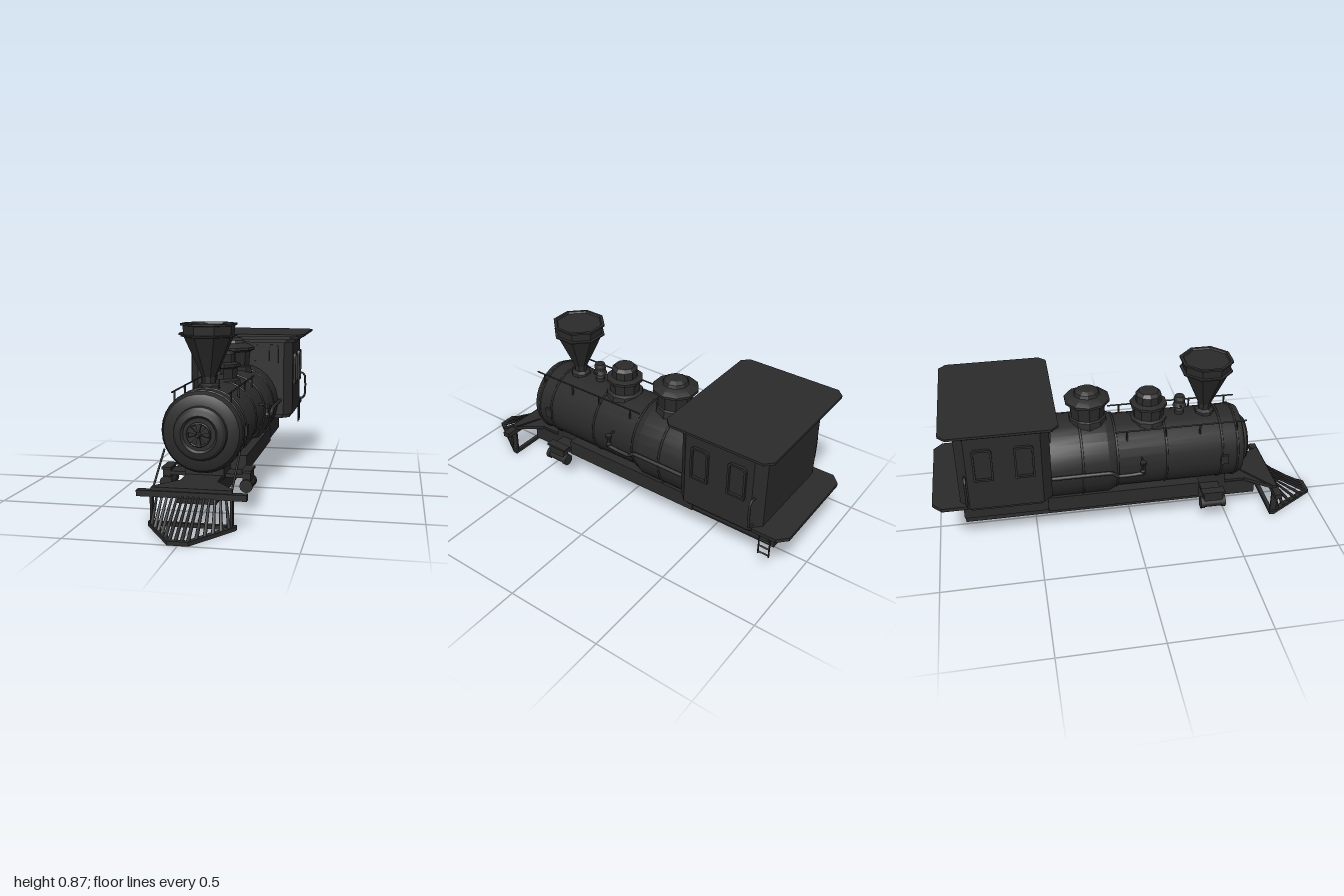
import * as THREE from 'three';
import { toCreasedNormals } from 'three/addons/utils/BufferGeometryUtils.js';

const dark = new THREE.MeshStandardMaterial({ color: 0x2b2b2b, side: THREE.DoubleSide });
const V = (x, y, z) => new THREE.Vector3(x, y, z);
const AXIS_Y = 0.385; // height of the boiler axis

export function createModel() {
  const root = new THREE.Group();

  const add = (name, geo, x = 0, y = 0, z = 0) => {
    const m = new THREE.Mesh(geo, dark);
    m.name = name;
    m.position.set(x, y, z);
    root.add(m);
    return m;
  };
  // Box given by its limits
  const box = (name, x0, x1, y0, y1, z0, z1) =>
    add(name, new THREE.BoxGeometry(x1 - x0, y1 - y0, z1 - z0), (x0 + x1) / 2, (y0 + y1) / 2, (z0 + z1) / 2);
  // Rod between two points
  const rod = (name, a, b, r, r2 = r, sides = 8) => {
    const d = b.clone().sub(a);
    const m = add(name, new THREE.CylinderGeometry(r2, r, d.length(), sides));
    m.position.copy(a).addScaledVector(d, 0.5);
    m.quaternion.setFromUnitVectors(V(0, 1, 0), d.normalize());
    return m;
  };
  // Pipe through points
  const pipe = (name, pts, r) => add(name, new THREE.TubeGeometry(
    new THREE.CatmullRomCurve3(pts, false, 'catmullrom', 0.15), pts.length * 8, r, 8));
  const lathe = (pts, sides, crease = 0.5) => toCreasedNormals(
    new THREE.LatheGeometry(pts.map(p => new THREE.Vector2(...p)), sides, Math.PI / sides), crease);
  // Flat plate from a plan outline of [x, z] points, optionally with a hole
  const plan = (name, pts, y0, y1, hole) => {
    const s = new THREE.Shape(pts.map(p => new THREE.Vector2(p[0], -p[1])));
    if (hole) s.holes.push(new THREE.Path(hole.map(p => new THREE.Vector2(p[0], -p[1]))));
    const g = new THREE.ExtrudeGeometry(s, { depth: y1 - y0, bevelEnabled: false });
    return add(name, g.rotateX(-Math.PI / 2), 0, y0, 0);
  };
  // Rectangle outline with cut corners
  const cutRect = (w, z0, z1, c) => [[-w + c, z0], [w - c, z0], [w, z0 + c], [w, z1 - c],
    [w - c, z1], [-w + c, z1], [-w, z1 - c], [-w, z0 + c]];
  const both = fn => [-1, 1].forEach(fn);

  // Boiler with smokebox, tapered to a wider firebox end
  const boiler = lathe([[0, -0.44], [0.212, -0.44], [0.212, -0.13], [0.187, -0.08], [0.187, 0.54],
    [0.176, 0.565], [0.15, 0.575], [0.125, 0.578], [0.122, 0.595], [0.11, 0.606], [0.085, 0.612],
    [0.075, 0.602], [0, 0.602]], 28);
  add('boiler', boiler.rotateX(Math.PI / 2), 0, AXIS_Y, 0);
  for (const [z, r] of [[0.53, 0.187], [0.45, 0.187], [0.165, 0.187], [-0.085, 0.19], [-0.26, 0.212]])
    add('boilerBand', new THREE.TorusGeometry(r, 0.006, 6, 28), 0, AXIS_Y, z);

  // Smokebox door hub with a fan of blades
  add('doorRing', new THREE.TorusGeometry(0.052, 0.005, 6, 24), 0, AXIS_Y, 0.612);
  for (let i = 0; i < 6; i++) {
    const a = i * Math.PI / 3;
    const s = new THREE.Shape([[0.012, -0.004], [0.05, -0.014], [0.05, 0.014], [0.012, 0.004]]
      .map(p => new THREE.Vector2(...p)));
    const g = new THREE.ExtrudeGeometry(s, { depth: 0.012, bevelEnabled: false });
    add('doorBlade', g.rotateZ(a + Math.PI / 6), 0, AXIS_Y, 0.608);
  }
  rod('doorHub', V(0, AXIS_Y, 0.6), V(0, AXIS_Y, 0.636), 0.014, 0.008, 10);

  // Flared octagonal chimney
  add('chimney', lathe([[0, 0.55], [0.055, 0.55], [0.05, 0.58], [0.033, 0.59], [0.034, 0.62],
    [0.118, 0.805], [0.133, 0.808], [0.133, 0.814], [0.12, 0.816], [0.124, 0.857], [0.135, 0.859],
    [0.135, 0.868], [0.12, 0.868], [0.115, 0.86], [0, 0.86]], 8, 0.3), 0, 0, 0.39);

  // Bell on its stand
  add('bell', lathe([[0, 0.56], [0.025, 0.56], [0.022, 0.59], [0.01, 0.597], [0.012, 0.61], [0.036, 0.615],
    [0.027, 0.635], [0.03, 0.655], [0.024, 0.67], [0, 0.674]], 12), 0, 0, 0.26);
  rod('bellYoke', V(-0.04, 0.625, 0.26), V(0.04, 0.625, 0.26), 0.006);

  // Domes along the top of the boiler
  add('sandDome', lathe([[0, 0.54], [0.1, 0.54], [0.094, 0.572], [0.078, 0.58], [0.08, 0.63], [0.094, 0.638],
    [0.094, 0.652], [0.066, 0.66], [0.066, 0.7], [0.05, 0.716], [0, 0.722]], 10, 0.3), 0, 0, 0.1);
  add('steamDome', lathe([[0, 0.57], [0.1, 0.57], [0.094, 0.607], [0.085, 0.612], [0.092, 0.685], [0.115, 0.695],
    [0.115, 0.708], [0.09, 0.722], [0.066, 0.73], [0.06, 0.745], [0.04, 0.757], [0, 0.757]], 10, 0.3), 0, 0, -0.21);

  // Underframe
  box('mainFrame', -0.09, 0.09, 0.083, 0.165, -0.86, 0.665);
  box('boilerBearer', -0.17, 0.17, 0.158, 0.24, -0.44, 0.34);
  box('cabBearer', -0.16, 0.16, 0.16, 0.31, -0.86, -0.42);
  box('smokeboxSaddle', -0.092, 0.092, 0.16, 0.24, 0.33, 0.5);

  // Cab with cut corners and bevelled sill
  plan('cabSill', cutRect(0.272, -0.85, -0.435, 0.04), 0.292, 0.312);
  plan('cabBody', cutRect(0.288, -0.865, -0.42, 0.045), 0.312, 0.735);
  plan('cornice', cutRect(0.302, -0.88, -0.405, 0.045), 0.716, 0.732);
  plan('roofEdge', cutRect(0.325, -0.9, -0.395, 0.045), 0.732, 0.75);
  plan('roof', cutRect(0.353, -0.925, -0.38, 0.035), 0.75, 0.762);
  plan('rearDeck', [[-0.24, -1], [0.24, -1], [0.288, -0.955], [0.288, -0.83], [-0.288, -0.83], [-0.288, -0.955]],
    0.312, 0.33);

  // Arched window frames around recessed panes
  const arch = (Path, w, h) => {
    const p = new Path(), c = w * 0.5;
    p.moveTo(-w, -h);
    p.lineTo(w, -h);
    p.lineTo(w, h - c);
    p.quadraticCurveTo(w, h, w - c, h);
    p.lineTo(-w + c, h);
    p.quadraticCurveTo(-w, h, -w, h - c);
    p.lineTo(-w, -h);
    return p;
  };
  const windowFrame = (x, y, z, w, h, turn, depth) => {
    const s = arch(THREE.Shape, w, h);
    s.holes.push(arch(THREE.Path, w - 0.01, h - 0.01));
    const g = new THREE.ExtrudeGeometry(s, { depth, bevelEnabled: false, curveSegments: 4 });
    add('windowFrame', g.rotateY(turn), x, y, z);
  };
  both(s => {
    for (const z of [-0.545, -0.74]) windowFrame(s * 0.286, 0.563, z, 0.047, 0.087, s * Math.PI / 2, 0.015);
    for (const x of [0.07, 0.183]) windowFrame(s * x, 0.653, -0.422, 0.03, 0.05, 0, 0.01);
  });

  both(s => {
    // Grab bar at the rear of the cab
    pipe('grabBar', [V(s * 0.28, 0.5, -0.83), V(s * 0.305, 0.503, -0.83), V(s * 0.319, 0.485, -0.83),
      V(s * 0.322, 0.43, -0.83), V(s * 0.319, 0.37, -0.83), V(s * 0.305, 0.352, -0.83), V(s * 0.28, 0.35, -0.83)], 0.006);

    // Boiler handrail on short posts
    rod('handrail', V(s * 0.13, 0.568, 0.58), V(s * 0.13, 0.568, -0.09), 0.004);
    for (const z of [0.53, 0.34, 0.165, -0.03])
      rod('handrailPost', V(s * 0.13, 0.51, z), V(s * 0.13, 0.57, z), 0.005);

    // Feed valve and pipe along the boiler side
    add('feedValve', lathe([[0, -0.045], [0.012, -0.042], [0.015, -0.02], [0.01, -0.01], [0.01, 0.01],
      [0.017, 0.015], [0.017, 0.03], [0, 0.036]], 10), s * 0.22, 0.41, 0.035);
    rod('valveArm', V(s * 0.17, 0.438, 0.035), V(s * 0.245, 0.438, 0.035), 0.005);
    pipe('feedPipe', [V(s * 0.222, 0.375, 0.035), V(s * 0.222, 0.37, -0.02), V(s * 0.222, 0.37, -0.09),
      V(s * 0.224, 0.395, -0.13), V(s * 0.224, 0.395, -0.43)], 0.01);

    // Small side bracket on the smokebox
    box('smokeboxBracket', s * 0.187 - 0.01, s * 0.187 + 0.01, 0.36, 0.41, 0.44, 0.48);

    // Steam cylinder, end caps and valve chest
    const cx = s * 0.19;
    rod('cylinder', V(cx, 0.125, 0.355), V(cx, 0.125, 0.465), 0.026, 0.026, 12);
    for (const z of [0.345, 0.455])
      rod('cylinderCap', V(cx, 0.125, z), V(cx, 0.125, z + 0.02), 0.031, 0.031, 12);
    box('valveChest', cx - 0.018, cx + 0.018, 0.14, 0.19, 0.36, 0.46);
    box('valveChestLid', cx - 0.023, cx + 0.023, 0.186, 0.197, 0.35, 0.47);
    box('cylinderMount', Math.min(s * 0.08, cx), Math.max(s * 0.08, cx), 0.16, 0.178, 0.36, 0.46);

    // Brace from smokebox to buffer beam, and pilot post
    rod('frontBrace', V(s * 0.175, 0.3, 0.55), V(s * 0.175, 0.155, 0.76), 0.005);
    box('pilotPost', s * 0.178 - 0.005, s * 0.178 + 0.005, 0.005, 0.14, 0.735, 0.768);
  });

  // Ladder on the left of the rear deck
  for (const z of [-0.87, -0.925]) rod('ladderRail', V(0.277, 0.198, z), V(0.277, 0.32, z), 0.004);
  for (const y of [0.208, 0.245, 0.282]) rod('ladderRung', V(0.277, y, -0.87), V(0.277, y, -0.925), 0.004);

  // Flared front deck and buffer beam
  plan('frontDeck', [[-0.085, 0.33], [0.085, 0.33], [0.085, 0.61], [0.18, 0.735], [0.18, 0.76], [-0.18, 0.76],
    [-0.18, 0.735], [-0.085, 0.61]], 0.158, 0.177);
  box('bufferBeam', -0.245, 0.245, 0.135, 0.162, 0.732, 0.77);

  // Pilot: wedge-shaped base ring and slanted slats
  plan('pilotBase', [[-0.197, 0.73], [0.197, 0.73], [0.197, 0.755], [0.045, 1], [-0.045, 1], [-0.197, 0.755]], 0, 0.018,
    [[-0.165, 0.75], [0.165, 0.75], [0.034, 0.975], [-0.034, 0.975]]);
  const slats = 14;
  for (let i = 0; i < slats; i++) {
    const t = i / (slats - 1) * 2 - 1;
    const x = t * 0.172, ax = Math.abs(x);
    const z = ax < 0.045 ? 0.985 : 0.985 - (ax - 0.045) * 1.6;
    rod('pilotSlat', V(x, 0.01, z), V(t * 0.152, 0.15, 0.755), 0.009, 0.005, 4);
  }
  return root;
}
